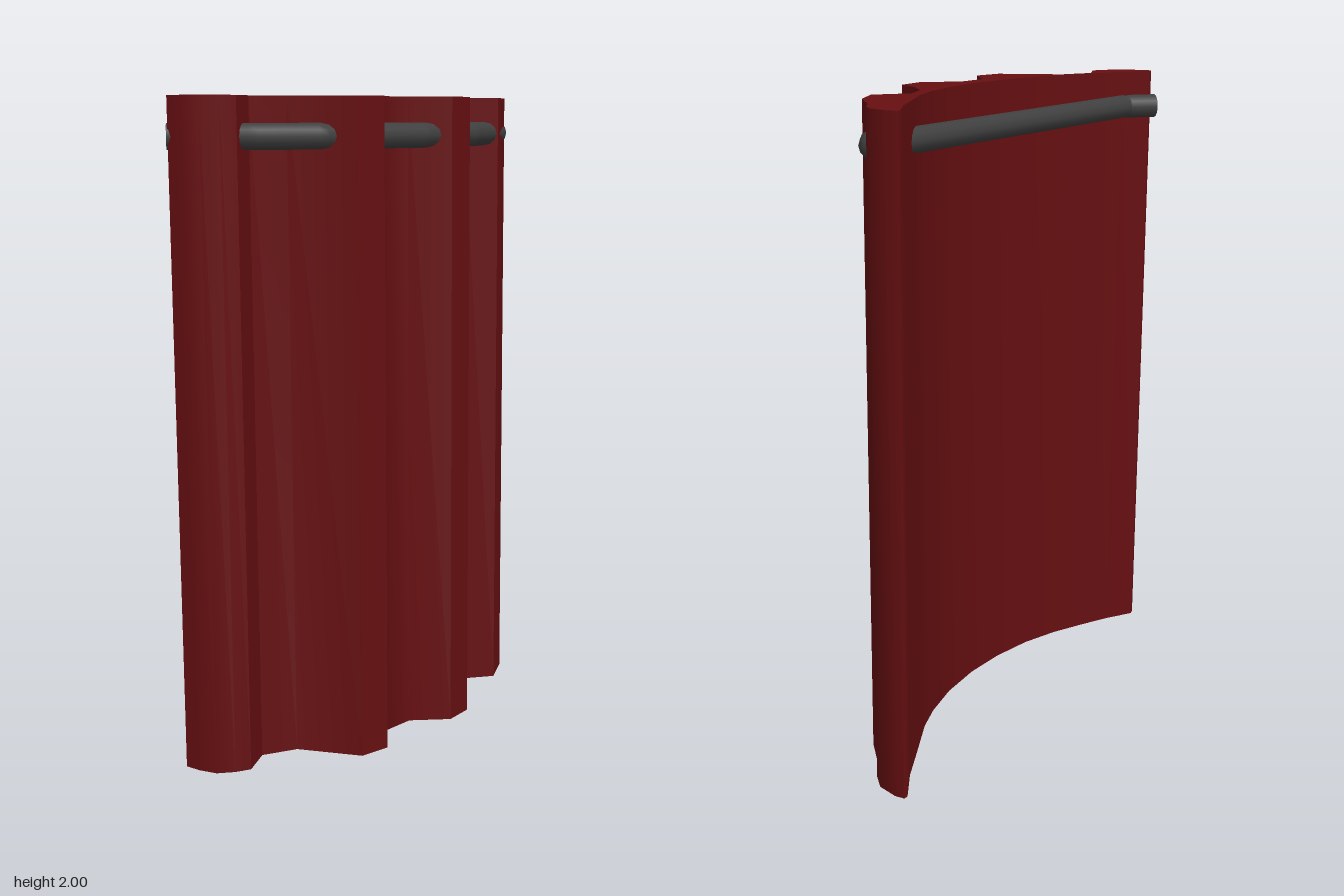
import * as THREE from 'three';
import { toCreasedNormals } from 'three/addons/utils/BufferGeometryUtils.js';

const HEIGHT = 2, LEAN = 0.015, ROPE_Y = 1.885, ROPE_RADIUS = 0.038;

// Plan of the cloth at its top edge, as [x, z]
const foldedSide = [
  [-0.25, -0.78], [-0.22, -0.785], [-0.15, -0.77], [-0.105, -0.73], [-0.075, -0.685],
  [0.03, -0.585], [0.09, -0.475], [0.02, -0.375], [0.065, -0.28], [0.14, -0.21],
  [0.22, -0.17], [0.232, -0.07], [0.14, 0.03], [0.14, 0.14], [0.235, 0.24],
  [0.22, 0.34], [0.035, 0.44], [-0.012, 0.545], [0.04, 0.64], [0.02, 0.685],
  [-0.015, 0.73], [-0.07, 0.75], [-0.12, 0.757],
];
const hollowSide = [
  [-0.127, 0.737], [-0.075, 0.645], [-0.03, 0.545], [0.018, 0.43], [0.055, 0.3],
  [0.074, 0.15], [0.074, 0], [0.052, -0.16], [0.012, -0.3], [-0.03, -0.4],
  [-0.11, -0.54], [-0.18, -0.665], [-0.25, -0.765],
];

// Hanging cloth: the plan raised to full height, leaning slightly
function makeCloth() {
  const outline = [...foldedSide, ...hollowSide].map(([x, z]) => new THREE.Vector2(x, -z));
  const geometry = new THREE.ExtrudeGeometry(new THREE.Shape(outline), {
    depth: HEIGHT, bevelEnabled: false, steps: 1,
  });
  geometry.rotateX(-Math.PI / 2);
  const p = geometry.attributes.position;
  for (let i = 0; i < p.count; i++) {
    p.setX(i, p.getX(i) + LEAN * (1 - p.getY(i) / HEIGHT));
  }
  return toCreasedNormals(geometry, 0.85);
}

// Rope: threaded through the folds, then straight across the hollow side
function makeRope() {
  const points = [
    [-0.145, 0.74], [-0.075, 0.66], [-0.075, -0.6], [-0.105, -0.67], [-0.07, -0.665],
    [0.01, -0.56], [0.065, -0.43], [0.14, -0.265], [0.18, 0.01], [0.155, 0.2],
    [0.125, 0.4], [0.035, 0.57], [-0.075, 0.66],
  ].map(([x, z]) => new THREE.Vector3(x, ROPE_Y, z));
  const path = new THREE.CurvePath();
  for (let i = 1; i < points.length; i++) {
    path.add(new THREE.LineCurve3(points[i - 1], points[i]));
  }
  return new THREE.TubeGeometry(path, 160, ROPE_RADIUS, 12, false);
}

// Flat disc closing the free rope end
function makeRopeEnd() {
  const geometry = new THREE.CircleGeometry(ROPE_RADIUS, 12);
  geometry.rotateY(Math.atan2(-0.07, 0.08));
  geometry.translate(-0.145, ROPE_Y, 0.74);
  return geometry;
}

export function createModel() {
  const model = new THREE.Group();
  model.name = 'hangingCurtain';
  const clothMaterial = new THREE.MeshStandardMaterial({ color: 0x660f11 });
  const ropeMaterial = new THREE.MeshStandardMaterial({ color: 0x404040 });

  const add = (name, geometry, material) => {
    const mesh = new THREE.Mesh(geometry, material);
    mesh.name = name;
    model.add(mesh);
  };
  add('cloth', makeCloth(), clothMaterial);
  add('rope', makeRope(), ropeMaterial);
  add('ropeEnd', makeRopeEnd(), ropeMaterial);
  return model;
}
